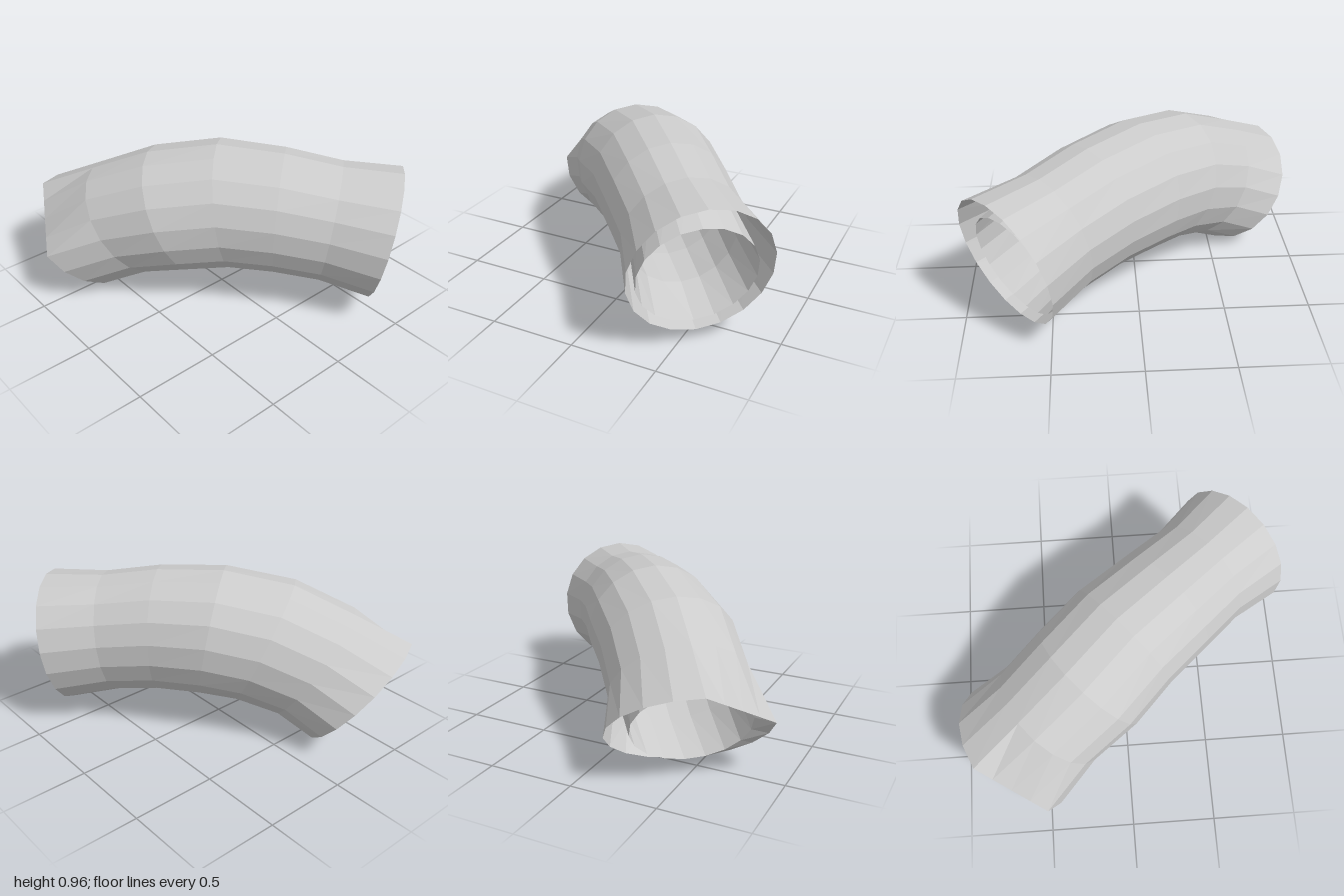
import * as THREE from 'three';

const SIDES = 18;
const along = new THREE.Vector3(0.65, 0, 0.76); // horizontal run of the pipe
const across = new THREE.Vector3(0.76, 0, -0.65);
const up = new THREE.Vector3(0, 1, 0);

// Cross-sections: distance along, height, lean in degrees, radius,
// sideways radius, sideways shift, skew of the sideways axis
const outer = [
  [0.97, 0.47, 11, 0.4, 0.4, 0, 0],
  [0.65, 0.515, 8, 0.367, 0.355, 0, 0],
  [0.35, 0.56, 2, 0.377, 0.37, 0, 0],
  [0.03, 0.573, -9, 0.392, 0.388, 0.01, 0],
  [-0.28, 0.525, -24, 0.395, 0.4, -0.005, 0.02],
  [-0.58, 0.42, -34, 0.38, 0.385, 0.015, 0.04],
  [-0.86, 0.29, -43, 0.4, 0.435, 0.04, 0.08],
];
const inner = [
  [0.91, 0.415, 11, 0.31, 0.335, 0, 0],
  ...outer.slice(1, 6).map(([s, y, a, r, w, ...rest]) => [s, y, a, r - 0.05, w - 0.05, ...rest]),
  [-0.84, 0.3, -26, 0.275, 0.325, 0.02, 0.04],
];

function ringPoints([s, y, lean, r, w, shift, skew]) {
  const a = THREE.MathUtils.degToRad(lean);
  return Array.from({ length: SIDES }, (_, i) => {
    const t = (i / SIDES) * Math.PI * 2;
    const v = Math.cos(t) * r;
    const h = Math.sin(t);
    return new THREE.Vector3()
      .addScaledVector(along, s + v * Math.sin(a) + h * skew)
      .addScaledVector(up, y + v * Math.cos(a))
      .addScaledVector(across, shift + h * w);
  });
}

// Skin a sequence of rings with quads, optionally only part of the way round
function loft(name, rings, material, from = 0, to = SIDES) {
  const index = [];
  for (let k = 0; k < rings.length - 1; k++) {
    for (let i = from; i < to; i++) {
      const a = k * SIDES + i;
      const b = k * SIDES + ((i + 1) % SIDES);
      index.push(a, a + SIDES, b, b, a + SIDES, b + SIDES);
    }
  }
  const geometry = new THREE.BufferGeometry().setFromPoints(rings.flat());
  geometry.setIndex(index);
  geometry.computeVertexNormals();
  const mesh = new THREE.Mesh(geometry, material);
  mesh.name = name;
  return mesh;
}

export function createModel() {
  const group = new THREE.Group();
  group.name = 'bentPipe';
  const material = new THREE.MeshStandardMaterial({
    color: 0xcccccc, flatShading: true, side: THREE.DoubleSide,
  });
  const outerRings = outer.map(ringPoints);
  const innerRings = inner.map(ringPoints);

  // Straight cut across the upper corner of the back rim
  const backRim = outerRings[6];
  for (let i = 15; i < SIDES; i++) {
    backRim[i].lerpVectors(backRim[14], backRim[0], (i - 14) / 4);
  }

  group.add(loft('outerWall', outerRings, material));
  group.add(loft('innerWall', [...innerRings].reverse(), material));
  // Partial lip joining the walls along the lower back rim
  group.add(loft('backLip', [backRim, innerRings[6]], material, 9, 14));
  return group;
}
